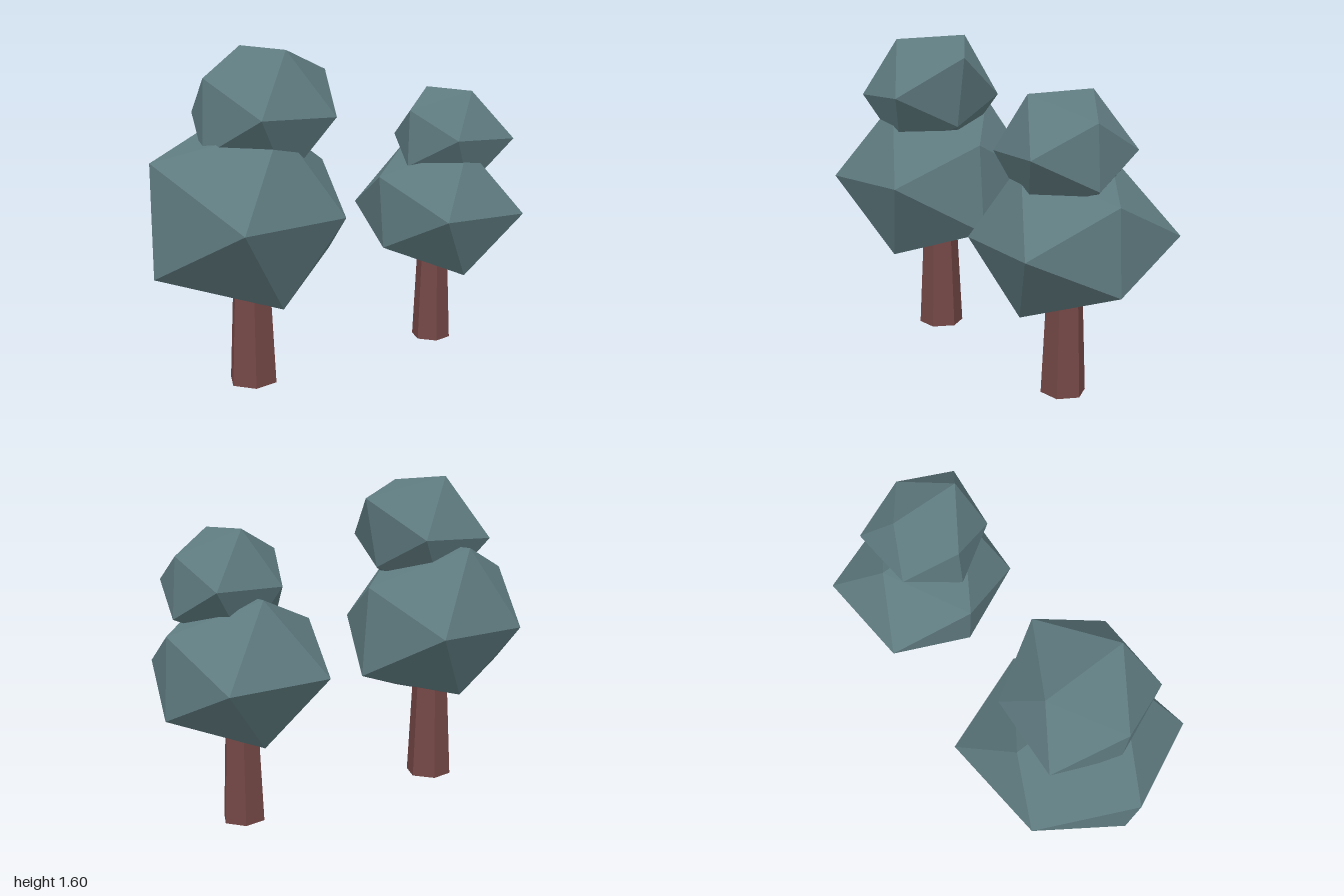
import * as THREE from 'three';

const leafMat = new THREE.MeshStandardMaterial({ color: 0x5f7b80 });
leafMat.name = 'leafTeal';
leafMat.flatShading = true;
const barkMat = new THREE.MeshStandardMaterial({ color: 0x734745 });
barkMat.name = 'barkBrown';
barkMat.flatShading = true;

// Icosahedron faces over 12 hand-placed corners
const FACES = [
  0, 11, 5, 0, 5, 1, 0, 1, 7, 0, 7, 10, 0, 10, 11,
  1, 5, 9, 5, 11, 4, 11, 10, 2, 10, 7, 6, 7, 1, 8,
  3, 9, 4, 3, 4, 2, 3, 2, 6, 3, 6, 8, 3, 8, 9,
  4, 9, 5, 2, 4, 11, 6, 2, 10, 8, 6, 7, 9, 8, 1,
];

// Uneven faceted foliage clump
function foliage(name, corners) {
  const indexed = new THREE.BufferGeometry();
  indexed.setAttribute('position', new THREE.Float32BufferAttribute(corners.flat(), 3));
  indexed.setIndex(FACES);
  const geo = indexed.toNonIndexed();
  geo.computeVertexNormals();
  const mesh = new THREE.Mesh(geo, leafMat);
  mesh.name = name;
  return mesh;
}

// Tapered six-sided trunk
function trunk(x, z, rTop, rBottom, height) {
  const geo = new THREE.CylinderGeometry(rTop, rBottom, height, 6, 1, false, 0.122);
  const mesh = new THREE.Mesh(geo, barkMat);
  mesh.position.set(x, height / 2, z);
  mesh.name = 'trunk';
  return mesh;
}

function tree(name, ...parts) {
  const group = new THREE.Group();
  group.name = name;
  group.add(...parts);
  return group;
}

// Corner order: top pair, bottom pair, front low/high, back low/high, right back/front, left back/front
export function createModel() {
  const model = new THREE.Group();
  model.name = 'treePair';

  model.add(tree('frontTree',
    trunk(-0.02, 0.51, 0.09, 0.12, 0.6),
    foliage('lowerFoliage', [
      [-0.32, 1.25, 0.5], [0.26, 1.25, 0.51],
      [-0.27, 0.49, 0.5], [0.27, 0.43, 0.51],
      [-0.02, 0.58, 1.0], [-0.02, 1.1, 1.0],
      [-0.02, 0.6, 0.06], [-0.02, 1.05, 0.1],
      [0.39, 0.84, 0.25], [0.47, 0.84, 0.81],
      [-0.47, 0.84, 0.22], [-0.43, 0.84, 0.76],
    ]),
    foliage('upperFoliage', [
      [-0.16, 1.6, 0.47], [0.25, 1.58, 0.47],
      [-0.14, 1.01, 0.47], [0.24, 1.01, 0.47],
      [0.05, 1.12, 0.78], [0.05, 1.46, 0.77],
      [0.05, 1.14, 0.2], [0.05, 1.49, 0.13],
      [0.36, 1.29, 0.28], [0.36, 1.29, 0.66],
      [-0.25, 1.29, 0.28], [-0.28, 1.29, 0.67],
    ])));

  model.add(tree('backTree',
    trunk(-0.01, -0.625, 0.08, 0.105, 0.56),
    foliage('lowerFoliage', [
      [-0.25, 1.08, -0.63], [0.24, 1.08, -0.63],
      [-0.24, 0.41, -0.63], [0.24, 0.4, -0.63],
      [-0.01, 0.55, -0.28], [-0.01, 0.93, -0.25],
      [-0.01, 0.54, -1.0], [-0.01, 0.92, -0.98],
      [0.4, 0.73, -0.89], [0.36, 0.73, -0.4],
      [-0.44, 0.73, -0.9], [-0.41, 0.73, -0.39],
    ]),
    foliage('upperFoliage', [
      [-0.12, 1.38, -0.66], [0.23, 1.37, -0.66],
      [-0.12, 0.87, -0.66], [0.22, 0.87, -0.66],
      [0.05, 0.98, -0.39], [0.05, 1.27, -0.4],
      [0.05, 0.98, -0.92], [0.05, 1.26, -0.9],
      [0.35, 1.125, -0.85], [0.3, 1.125, -0.51],
      [-0.23, 1.125, -0.84], [-0.21, 1.125, -0.51],
    ])));

  return model;
}
